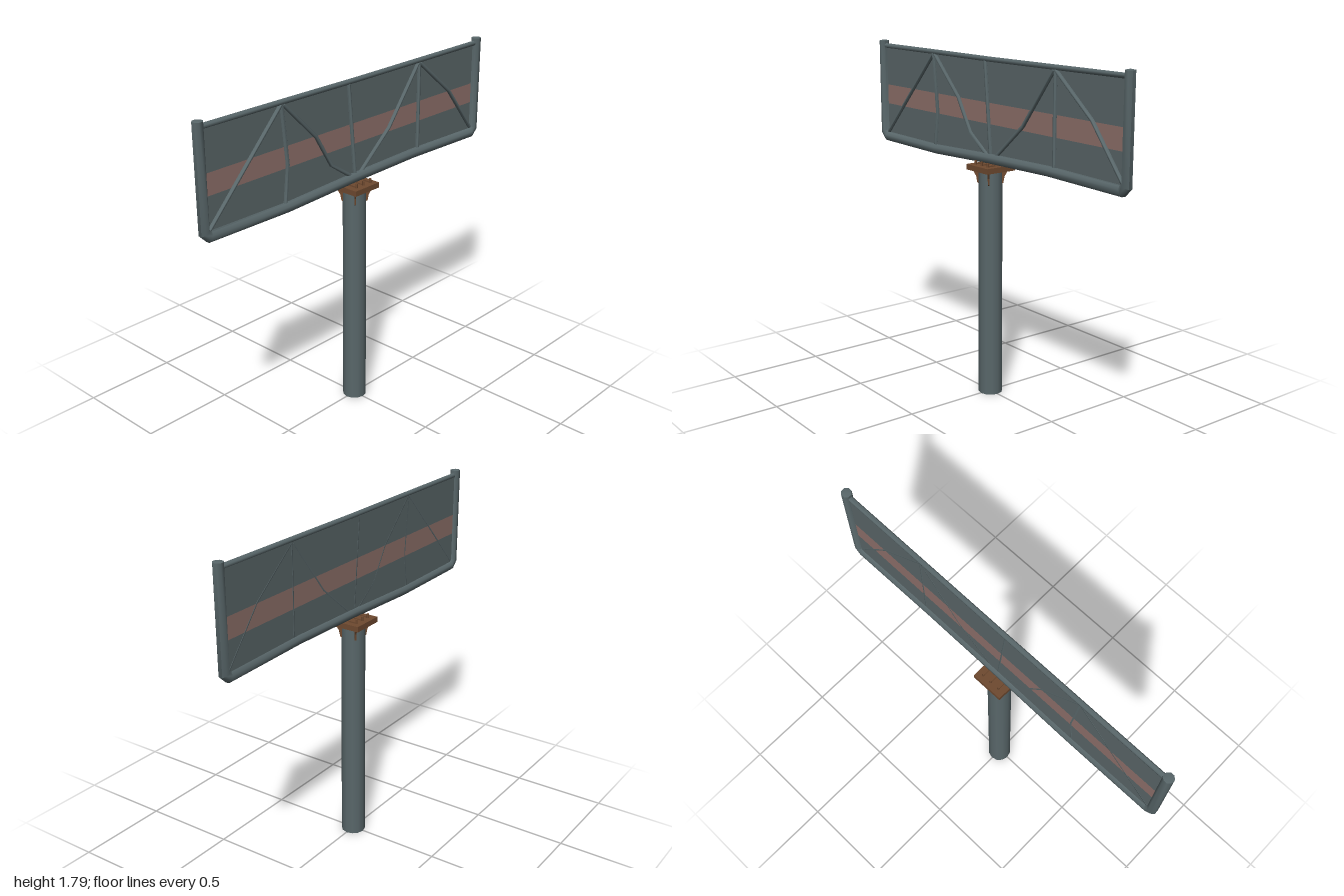
import * as THREE from 'three';
import { toCreasedNormals } from 'three/addons/utils/BufferGeometryUtils.js';

const material = (name, color) => {
  const m = new THREE.MeshStandardMaterial({ color });
  m.name = name;
  return m;
};

// Mitred pipe along a [z, y] polyline lying in the x = 0 plane
function pipeGeometry(path, radius, sides = 8) {
  const pts = path.map(([z, y]) => new THREE.Vector3(0, y, z));
  const pos = [], index = [];
  const dir = (i) => pts[i + 1].clone().sub(pts[i]).normalize();
  const last = pts.length - 1;
  const ends = [];
  pts.forEach((p, i) => {
    const a = dir(Math.max(i - 1, 0)), b = dir(Math.min(i, last - 1));
    const t = a.clone().add(b).normalize();
    const stretch = 1 / t.dot(a);
    for (let j = 0; j < sides; j++) {
      const ang = ((j + 0.5) / sides) * Math.PI * 2;
      const u = Math.cos(ang) * radius * stretch;
      pos.push(Math.sin(ang) * radius, p.y - t.z * u, p.z + t.y * u);
    }
    if (i === 0 || i === last) ends.push(p.clone().addScaledVector(t, i ? radius * 0.2 : -radius * 0.2));
  });
  for (let i = 0; i < last; i++) {
    for (let j = 0; j < sides; j++) {
      const a = i * sides + j, b = i * sides + ((j + 1) % sides);
      index.push(a, b, a + sides, b, b + sides, a + sides);
    }
  }
  // Slightly raised end caps
  const c0 = pos.length / 3;
  ends.forEach((e) => pos.push(e.x, e.y, e.z));
  for (let j = 0; j < sides; j++) {
    const k = (j + 1) % sides;
    index.push(c0, k, j, c0 + 1, last * sides + j, last * sides + k);
  }
  const g = new THREE.BufferGeometry();
  g.setAttribute('position', new THREE.Float32BufferAttribute(pos, 3));
  g.setIndex(index);
  return toCreasedNormals(g, 0.9);
}

export function createModel() {
  const steel = material('steel', 0x59676a);
  const sheet = material('sheet', 0x5a6668);
  const band = material('faded red', 0x8e706a);
  const rust = material('rust', 0x6f4a30);

  const model = new THREE.Group();
  model.name = 'signpost';
  const add = (name, geometry, mat, x = 0, y = 0, z = 0, parent = model) => {
    const mesh = new THREE.Mesh(geometry, mat);
    mesh.name = name;
    mesh.position.set(x, y, z);
    parent.add(mesh);
    return mesh;
  };

  // Pole
  add('pole', new THREE.CylinderGeometry(0.0605, 0.063, 1.2, 12), steel, -0.001, 0.6, -0.002);

  // Mounting plate with corner gussets below and bolted ties above
  const mount = new THREE.Group();
  mount.name = 'mount';
  model.add(mount);
  add('mountPlate', new THREE.BoxGeometry(0.175, 0.028, 0.172), rust, -0.001, 1.211, -0.003, mount);

  const fin = new THREE.Shape([
    new THREE.Vector2(0.055, 0), new THREE.Vector2(0.055, -0.075),
    new THREE.Vector2(0.066, -0.068), new THREE.Vector2(0.072, -0.035), new THREE.Vector2(0.092, 0),
  ]);
  const finGeometry = new THREE.ExtrudeGeometry(fin, { depth: 0.008, bevelEnabled: false });
  finGeometry.translate(0, 0, -0.004);
  for (let i = 0; i < 4; i++) {
    add('gusset', finGeometry, rust, 0, 1.2, -0.002, mount).rotation.y = Math.PI / 4 + i * Math.PI / 2;
  }

  const bolt = new THREE.CylinderGeometry(0.006, 0.006, 0.024, 8);
  const tie = new THREE.BoxGeometry(0.05, 0.008, 0.006);
  for (const side of [-1, 1]) {
    for (const z of [-0.055, -0.005, 0.045]) {
      add('bolt', bolt, rust, side * 0.057, 1.235, z, mount);
      add('tie', tie, rust, side * 0.035, 1.228, z, mount);
    }
  }

  // Outer frame: uprights joined by a sagging bottom rail, plus a thin top rail
  add('frame', pipeGeometry([
    [0.971, 1.78], [0.971, 1.268], [0.945, 1.242], [0.46, 1.237], [0, 1.255],
    [-0.45, 1.264], [-0.945, 1.255], [-0.971, 1.28], [-0.971, 1.785],
  ], 0.026), steel);
  add('topRail', pipeGeometry([[0.96, 1.753], [0.46, 1.753], [0, 1.752], [-0.5, 1.755], [-0.96, 1.758]], 0.013), steel);

  // Sheet panel in three strips, the middle one painted
  const strips = [
    ['lowerPanel', 1.245, 1.428, sheet],
    ['paintedBand', 1.428, 1.535, band],
    ['upperPanel', 1.535, 1.752, sheet],
  ];
  for (const [name, y0, y1, mat] of strips) {
    add(name, new THREE.BoxGeometry(0.004, y1 - y0, 1.91), mat, -0.007, (y0 + y1) / 2, 0);
  }

  // Bent truss braces
  const braces = [
    [[0.95, 1.26], [0.49, 1.74]],
    [[0.485, 1.745], [0.455, 1.445], [0.477, 1.25]],
    [[0.475, 1.74], [0.267, 1.535], [0.165, 1.365], [0.02, 1.265]],
    [[0.04, 1.75], [-0.005, 1.26]],
    [[-0.045, 1.27], [-0.257, 1.45], [-0.48, 1.74]],
    [[-0.49, 1.745], [-0.49, 1.27]],
    [[-0.495, 1.74], [-0.743, 1.54], [-0.96, 1.27]],
  ];
  for (const path of braces) add('brace', pipeGeometry(path, 0.01), steel);

  return model;
}
